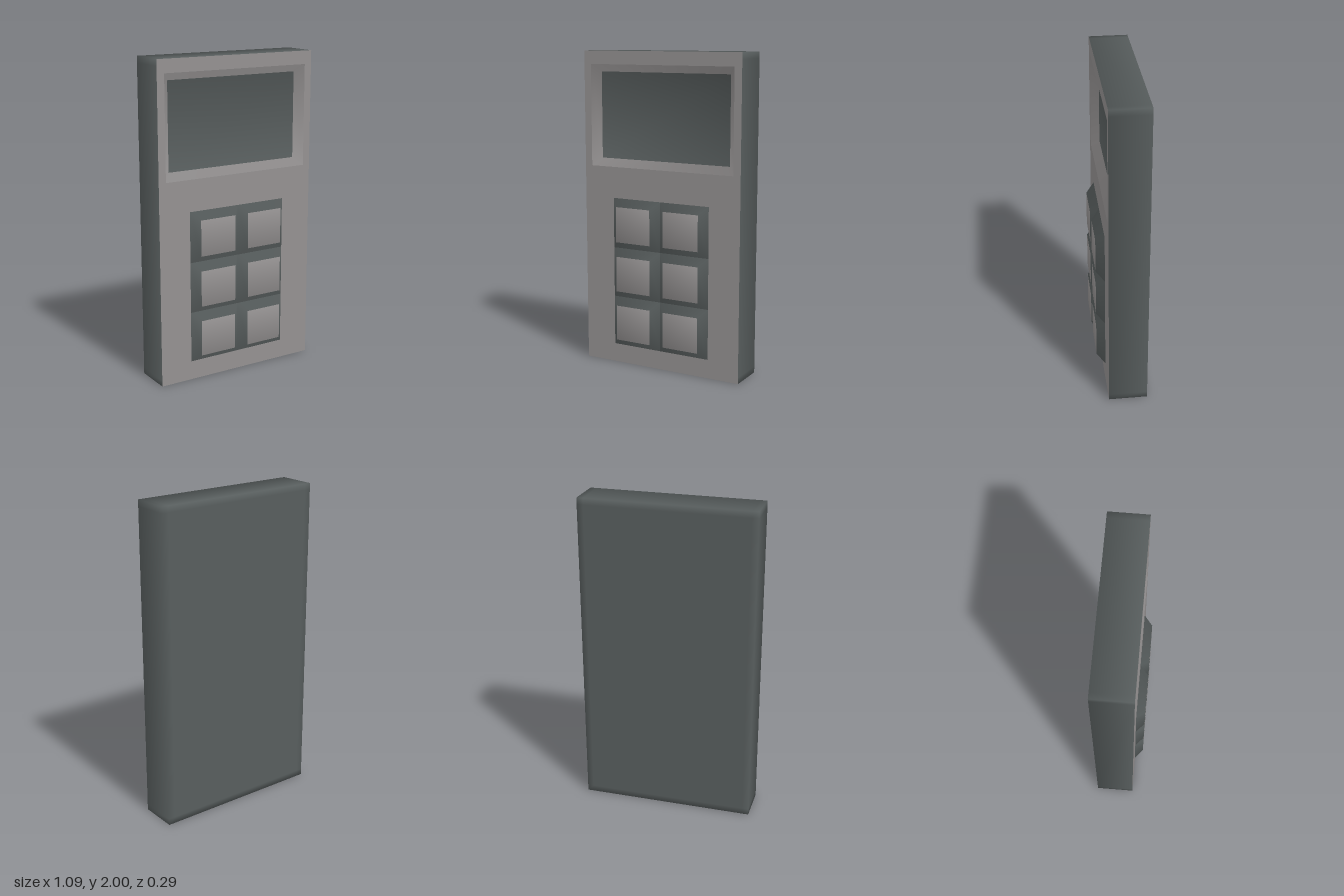
import * as THREE from 'three';
import { mergeVertices } from 'three/addons/utils/BufferGeometryUtils.js';

const W = 1.09, H = 2, BACK = -0.147, FRONT = 0.095, BAND = 0.04;

// Sharp box without a front, whose shading rolls softly over its edges
function casingGeometry(w, h, d) {
  const geo = new THREE.BoxGeometry(w, h, d, 3, 3, 1);
  geo.deleteAttribute('uv');
  geo.deleteAttribute('normal');
  const { start, count } = geo.groups[4];
  geo.setIndex(Array.from(geo.index.array).filter((_, i) => i < start || i >= start + count));
  geo.clearGroups();
  const box = mergeVertices(geo);
  const p = box.attributes.position;
  const normals = [];
  const edge = (v, half) => (Math.abs(v) > half - 1e-4 ? Math.sign(v) : 0);
  for (let i = 0; i < p.count; i++) {
    const x = p.getX(i), y = p.getY(i), z = p.getZ(i);
    const n = new THREE.Vector3(edge(x, w / 2), edge(y, h / 2), edge(z, d / 2)).normalize();
    normals.push(n.x, n.y, n.z);
    if (!edge(x, w / 2)) p.setX(i, Math.sign(x) * (w / 2 - BAND));
    if (!edge(y, h / 2)) p.setY(i, Math.sign(y) * (h / 2 - BAND));
  }
  box.setAttribute('normal', new THREE.Float32BufferAttribute(normals, 3));
  return box;
}

// Bevelled rectangle, raised or sunk by depth; group 0 is the bevel, group 1 the flat face
function bevelGeometry(w, h, depth, inset) {
  const corners = [[-1, -1], [1, -1], [1, 1], [-1, 1]];
  const positions = [], normals = [], index = [];
  const tilt = 0.3 * Math.sign(depth);
  for (const level of [0, 1]) {
    for (const [sx, sy] of corners) {
      positions.push(sx * (w / 2 - level * inset), sy * (h / 2 - level * inset), level * depth);
      normals.push(...new THREE.Vector3(sx * tilt, sy * tilt, 1).normalize().toArray());
    }
  }
  for (let i = 0; i < 4; i++) {
    const j = (i + 1) % 4;
    index.push(i, j, j + 4, i, j + 4, i + 4);
  }
  index.push(4, 5, 6, 4, 6, 7);
  const geo = new THREE.BufferGeometry();
  geo.setAttribute('position', new THREE.Float32BufferAttribute(positions, 3));
  geo.setAttribute('normal', new THREE.Float32BufferAttribute(normals, 3));
  geo.setIndex(index);
  geo.addGroup(0, 24, 0);
  geo.addGroup(24, 6, 1);
  return geo;
}

// Traces a rectangle centred at (0, y)
function trace(path, w, h, y) {
  path.moveTo(-w / 2, y - h / 2);
  path.lineTo(w / 2, y - h / 2);
  path.lineTo(w / 2, y + h / 2);
  path.lineTo(-w / 2, y + h / 2);
  path.closePath();
  return path;
}

export function createModel() {
  const group = new THREE.Group();
  const dark = new THREE.MeshStandardMaterial({ color: 0x575d5d });
  dark.name = 'dark slate';
  const grey = new THREE.MeshStandardMaterial({ color: 0x949191 });
  grey.name = 'warm grey';

  const add = (name, geo, mat, x, y, z) => {
    const mesh = new THREE.Mesh(geo, mat);
    mesh.name = name;
    mesh.position.set(x, y, z);
    group.add(mesh);
  };

  const relief = 0.052, inset = 0.047;
  const keyW = 0.337, keyH = 0.32, keypadY = 0.6;
  const screenW = 0.9 + 2 * inset, screenH = 0.545 + 2 * inset, screenY = 1.5975;

  // Casing, and front panel with openings for display and keypad
  add('casing', casingGeometry(W, H, FRONT - BACK), dark, 0, H / 2, (FRONT + BACK) / 2);
  const panel = trace(new THREE.Shape(), W, H, H / 2);
  panel.holes.push(
    trace(new THREE.Path(), screenW, screenH, screenY),
    trace(new THREE.Path(), 2 * keyW, 3 * keyH, keypadY)
  );
  add('frontPanel', new THREE.ShapeGeometry(panel), grey, 0, 0, FRONT);

  // Sunken display with grey sloping frame
  add('screen', bevelGeometry(screenW, screenH, -relief, inset), [grey, dark], 0, screenY, FRONT);

  // Keypad: dark sloping sides, grey faces
  const key = bevelGeometry(keyW, keyH, relief, inset);
  for (const row of [-1, 0, 1]) {
    for (const side of [-1, 1]) {
      add('key', key, [dark, grey], side * keyW / 2, keypadY + row * keyH, FRONT);
    }
  }
  return group;
}
